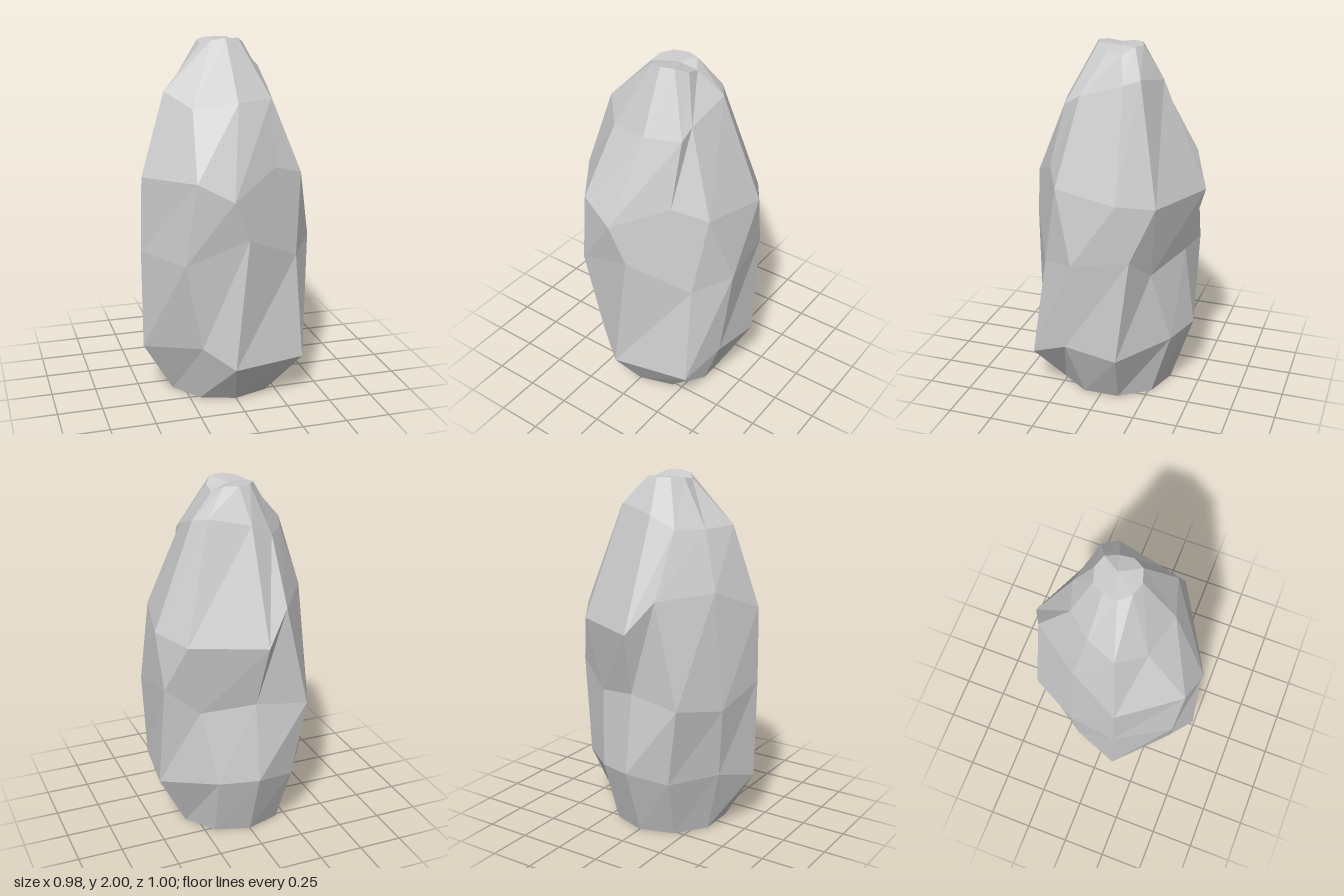
import * as THREE from 'three';

const SIDES = 10;

// Regular ring; column 2 points to the front (+z)
function regularRing(radius, y, cz = 0) {
  return Array.from({ length: SIDES }, (_, i) => {
    const a = Math.PI * (0.1 + 0.2 * i);
    return [radius * Math.cos(a), y, cz + radius * Math.sin(a)];
  });
}

// Uneven cross-sections of the stone, corners as [x, y, z]
const lower = [
  [0.45, 0.35, 0.165], [0.37, 0.24, 0.39], [-0.05, 0.25, 0.5], [-0.21, 0.355, 0.4], [-0.485, 0.29, 0.12],
  [-0.4, 0.36, -0.13], [-0.23, 0.35, -0.385], [0, 0.39, -0.46], [0.21, 0.37, -0.38], [0.48, 0.32, -0.14],
];
const waist = [
  [0.49, 0.87, 0.11], [0.35, 0.82, 0.31], [0.03, 0.98, 0.475], [-0.31, 0.85, 0.425], [-0.49, 0.86, 0.13],
  [-0.43, 0.75, -0.15], [-0.3, 0.8, -0.415], [0, 0.84, -0.4], [0.28, 0.78, -0.28], [0.46, 0.92, -0.21],
];
const shoulder = [
  [0.4, 1.27, 0.225], [0.22, 1.33, 0.32], [-0.06, 1.2, 0.5], [-0.25, 1.3, 0.455], [-0.48, 1.28, 0.14],
  [-0.365, 1.4, -0.135], [-0.165, 1.38, -0.415], [-0.03, 1.2, -0.5], [0.36, 1.2, -0.325], [0.48, 1.24, -0.14],
];
const neck = [
  [0.225, 1.74, 0.14], [0.22, 1.69, 0.225], [0.02, 1.68, 0.285], [-0.215, 1.65, 0.225], [-0.34, 1.73, 0.09],
  [-0.27, 1.72, -0.08], [-0.16, 1.73, -0.215], [-0.03, 1.8, -0.25], [0.19, 1.84, -0.185], [0.25, 1.82, -0.11],
];

function stoneGeometry() {
  // The tip is a small ring, slightly uneven in height
  const tipHeights = [1.97, 2, 2, 1.99, 1.97, 1.98, 1.985, 1.985, 1.985, 1.95];
  const tip = regularRing(0.125, 0, -0.018).map(([x, , z], i) => [x, tipHeights[i], z]);
  const rings = [regularRing(0.33, 0), lower, waist, shoulder, neck, tip];
  const positions = [];
  const tri = (a, b, c) => positions.push(...a, ...b, ...c);

  for (let i = 0; i < SIDES; i++) {
    const j = (i + 1) % SIDES;
    // Wall facets between neighbouring rings
    for (let r = 0; r < rings.length - 1; r++) {
      const lo = rings[r], hi = rings[r + 1];
      tri(lo[j], lo[i], hi[i]);
      tri(lo[j], hi[i], hi[j]);
    }
    // Base and tip caps
    tri([0, 0, 0], rings[0][i], rings[0][j]);
    tri([0.02, 1.98, -0.03], tip[j], tip[i]);
  }

  const geometry = new THREE.BufferGeometry();
  geometry.setAttribute('position', new THREE.Float32BufferAttribute(positions, 3));
  geometry.computeVertexNormals();
  return geometry;
}

export function createModel() {
  const group = new THREE.Group();
  group.name = 'standingStone';
  const stone = new THREE.Mesh(
    stoneGeometry(),
    new THREE.MeshStandardMaterial({ color: 0xcccccc, flatShading: true }),
  );
  stone.name = 'stone';
  group.add(stone);
  return group;
}
